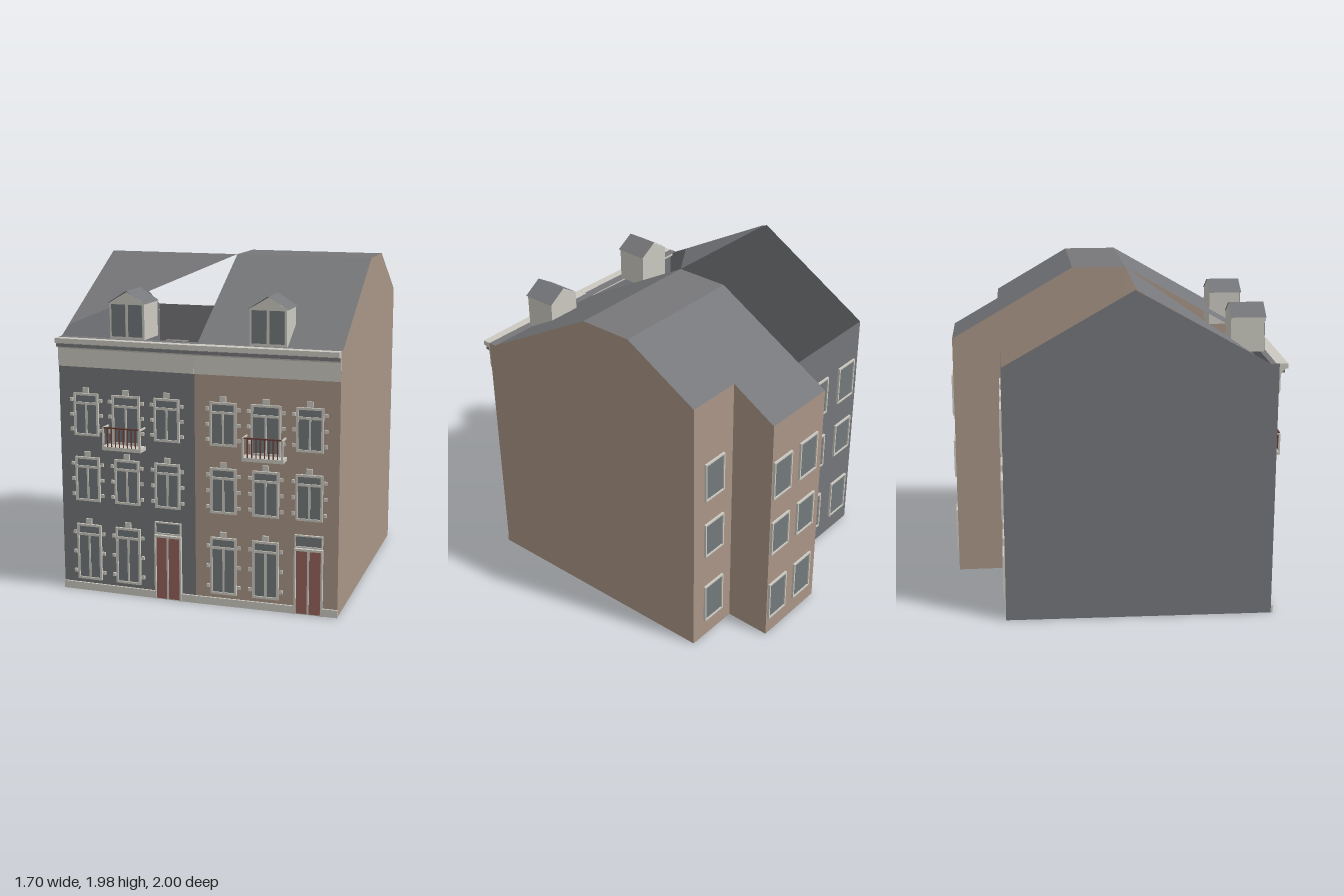
import * as THREE from 'three';

const paint = (name, color) => {
  const m = new THREE.MeshStandardMaterial({ color, side: THREE.DoubleSide });
  m.name = name;
  return m;
};

export function createModel() {
  const model = new THREE.Group();
  model.name = 'rowHouses';
  const greyWall = paint('grey wall', 0x75767a);
  const tanWall = paint('tan wall', 0xa99586);
  const roof = paint('roof grey', 0x77787b);
  const trim = paint('pale trim', 0xcbc9c0);
  const glass = paint('window glass', 0x73797b);
  const red = paint('door red', 0x96625a);
  const iron = paint('railing brown', 0x6b4038);

  const group = (name, parent) => {
    const g = new THREE.Group();
    g.name = name;
    parent.add(g);
    return g;
  };

  // Flat polygon, fanned from its first corner
  const face = (name, parent, mat, pts) => {
    const tri = [];
    for (let i = 1; i < pts.length - 1; i++) tri.push(...pts[0], ...pts[i], ...pts[i + 1]);
    const g = new THREE.BufferGeometry();
    g.setAttribute('position', new THREE.Float32BufferAttribute(tri, 3));
    g.computeVertexNormals();
    const m = new THREE.Mesh(g, mat);
    m.name = name;
    parent.add(m);
  };

  // Box given by its limits
  const box = (name, parent, mat, x0, x1, y0, y1, z0, z1) => {
    const m = new THREE.Mesh(new THREE.BoxGeometry(x1 - x0, y1 - y0, z1 - z0), mat);
    m.position.set((x0 + x1) / 2, (y0 + y1) / 2, (z0 + z1) / 2);
    m.name = name;
    parent.add(m);
  };

  // Slightly skewed party lines of the plot
  const xMid = z => -0.02 * (0.915 - z) / 1.9;
  const xRight = z => 0.85 - 0.03 * (0.9 - z) / 1.6;
  const xLeft = z => -0.85 + 0.015 * (0.9 - z) / 1.6;
  const side = (fx, list) => list.map(([z, y]) => [fx(z), y, z]);
  const wall = (name, parent, mat, a, b, ya, yb = ya) =>
    face(name, parent, mat, [[a[0], 0, a[1]], [b[0], 0, b[1]], [b[0], yb, b[1]], [a[0], ya, a[1]]]);

  const E = 1.54, R = 1.975;

  // Tan house shell
  const tan = group('tanHouse', model);
  wall('frontWall', tan, tanWall, [0, 0.915], [0.85, 0.9], E);
  wall('recessedBackWall', tan, tanWall, [0.82, -0.705], [0.47, -0.705], 1.705);
  wall('extensionSideWall', tan, tanWall, [0.47, -0.705], [0.47, -0.99], 1.705, E);
  wall('extensionBackWall', tan, tanWall, [0.47, -0.99], [-0.02, -0.99], E);
  face('rightGable', tan, tanWall, side(xRight,
    [[0.9, 0], [-0.705, 0], [-0.705, 1.705], [-0.24, R], [0.09, R], [0.85, E], [0.9, E]]));
  face('partyWall', tan, tanWall, side(xMid,
    [[0.09, E], [0.09, R], [-0.24, R], [-0.99, E], [-0.99, 0], [0.74, 0], [0.74, E]]));
  face('floor', tan, tanWall, [[0, 0, 0.915], [xMid(-0.705), 0, -0.705], [0.82, 0, -0.705], [0.85, 0, 0.9]]);
  face('extensionFloor', tan, tanWall,
    [[xMid(-0.705), 0, -0.705], [-0.02, 0, -0.99], [0.47, 0, -0.99], [0.47, 0, -0.705]]);
  const strip = (name, z0, y0, z1, y1) => face(name, tan, roof,
    [[xMid(z0), y0, z0], [xRight(z0), y0, z0], [xRight(z1), y1, z1], [xMid(z1), y1, z1]]);
  strip('eaveStrip', 0.9, E, 0.85, E);
  strip('frontRoof', 0.85, E, 0.09, R);
  strip('flatRoof', 0.09, R, -0.24, R);
  strip('backRoof', -0.24, R, -0.705, 1.705);
  face('extensionRoof', tan, roof,
    [[xMid(-0.705), 1.705, -0.705], [0.47, 1.705, -0.705], [0.47, E, -0.99], [-0.02, E, -0.99]]);

  // Grey house shell, with its roof partly open
  const grey = group('greyHouse', model);
  wall('frontWall', grey, greyWall, [-0.85, 0.9], [0, 0.915], E);
  wall('backWall', grey, greyWall, [xMid(-0.69), -0.69], [-0.835, -0.69], E);
  face('leftGable', grey, greyWall, side(xLeft,
    [[0.9, 0], [-0.69, 0], [-0.69, E], [0.07, R], [0.85, E], [0.9, E]]));
  face('floor', grey, greyWall,
    [[-0.85, 0, 0.9], [0, 0, 0.915], [xMid(-0.69), 0, -0.69], [-0.835, 0, -0.69]]);
  face('frontRoofPart', grey, roof, [[xLeft(0.08), R, 0.08], [-0.01, R, 0.09], [-0.85, 1.59, 0.76]]);
  face('eaveStrip', grey, roof, [[-0.85, E, 0.9], [0, E, 0.91], [0, E, 0.85], [-0.85, E, 0.85]]);

  // Framed pane, with optional transom bar and mullion
  const windowUnit = (parent, x, y0, y1, w, { transom = 0, mullion = false, t = 0.013 } = {}) => {
    const g = group('window', parent);
    g.position.x = x;
    const h = w / 2, d = 0.014;
    box('pane', g, glass, -h + t, h - t, y0 + t, y1 - t, 0, 0.006);
    for (const s of [-1, 1]) {
      const c = s * (h - t / 2);
      box('jamb', g, trim, c - t / 2, c + t / 2, y0, y1, 0, d);
    }
    box('sill', g, trim, -h + t, h - t, y0, y0 + t, 0, d);
    box('head', g, trim, -h + t, h - t, y1 - t, y1, 0, d);
    const top = transom || y1 - t;
    if (transom) box('transom', g, trim, -h + t, h - t, transom - 0.007, transom + 0.007, 0, d);
    if (mullion) box('mullion', g, trim, -0.006, 0.006, y0 + t, top, 0, 0.011);
    return g;
  };

  // Front window with keystone and side blocks
  const frontWindow = (parent, x, y0, y1, transom, w = 0.157, blocksFrom = y0) => {
    const g = windowUnit(parent, x, y0, y1, w, { transom, mullion: true });
    box('keystone', g, trim, -0.018, 0.018, y1 + 0.002, y1 + 0.034, 0, 0.012);
    for (const s of [-1, 1]) for (const f of [0.14, 0.49, 0.84]) {
      const c = s * (w / 2 + 0.015), y = blocksFrom + (y1 - blocksFrom) * f;
      box('sideBlock', g, trim, c - 0.009, c + 0.009, y - 0.01, y + 0.01, 0, 0.012);
    }
  };

  const door = (parent, x) => {
    const g = group('frontDoor', parent);
    g.position.x = x;
    for (const s of [-1, 1]) {
      const c = s * 0.038, j = s * 0.079;
      box('doorLeaf', g, red, c - 0.033, c + 0.033, 0.006, 0.382, 0, 0.016);
      box('doorJamb', g, trim, j - 0.005, j + 0.005, 0, 0.395, 0, 0.02);
    }
    box('doorMullion', g, trim, -0.006, 0.006, 0.006, 0.382, 0, 0.02);
    box('doorHead', g, trim, -0.074, 0.074, 0.382, 0.395, 0, 0.02);
    windowUnit(g, 0, 0.4, 0.475, 0.165, { t: 0.008 });
  };

  const balcony = (parent, x) => {
    const g = group('balcony', parent);
    g.position.x = x;
    box('balconySlab', g, trim, -0.122, 0.122, 0.9, 0.922, 0, 0.082);
    for (const s of [-1, 1]) {
      const c = s * 0.115;
      box('cornerPost', g, trim, c - 0.005, c + 0.005, 0.922, 1.035, 0.072, 0.082);
      box('sideRail', g, trim, c - 0.004, c + 0.004, 1.026, 1.036, 0, 0.072);
    }
    box('topRail', g, iron, -0.11, 0.11, 1.03, 1.038, 0.073, 0.081);
    for (let i = 0; i < 8; i++) {
      const c = -0.088 + i * 0.0251;
      box('railBar', g, iron, c - 0.003, c + 0.003, 0.922, 1.03, 0.074, 0.08);
    }
  };

  // Moulded cornice swept along the front
  const cornice = parent => {
    const pts = [[0, 1.37], [0.008, 1.37], [0.008, 1.475], [0.014, 1.488], [0.03, 1.508],
      [0.05, 1.512], [0.05, E], [-0.018, E], [-0.018, 1.5], [0, 1.5]];
    const shape = new THREE.Shape(pts.map(([d, y]) => new THREE.Vector2(-d, y)));
    const geo = new THREE.ExtrudeGeometry(shape, { depth: 0.85, bevelEnabled: false }).rotateY(Math.PI / 2);
    const m = new THREE.Mesh(geo, trim);
    m.name = 'cornice';
    parent.add(m);
    box('corniceGroove', parent, roof, 0, 0.85, 1.487, 1.506, 0.01, 0.032);
  };

  const dormer = (parent, x) => {
    const g = group('dormer', parent);
    g.position.set(x, 0, -0.035);
    const h = 0.108, z0 = -0.2, z1 = 0, y1 = 1.75, peak = 1.815;
    box('dormerBody', g, trim, -h, h, E, y1, z0, z1);
    for (const z of [z0, z1]) face('dormerGable', g, trim, [[-h, y1, z], [h, y1, z], [0, peak, z]]);
    for (const s of [-1, 1]) {
      face('dormerRoof', g, roof, [[s * 0.116, y1 - 0.002, z1 + 0.008], [s * 0.116, y1 - 0.002, z0 - 0.004],
        [0, peak + 0.006, z0 - 0.004], [0, peak + 0.006, z1 + 0.008]]);
      const c = s * 0.052;
      box('dormerPane', g, glass, c - 0.043, c + 0.043, 1.555, 1.742, z1, z1 + 0.005);
    }
  };

  // The two facades share one layout, each turned slightly back from the middle
  for (const s of [-1, 1]) {
    const turned = group(s < 0 ? 'greyFacade' : 'tanFacade', model);
    turned.position.z = 0.915;
    turned.rotation.y = s * 0.0176;
    const f = group('facadeParts', turned);
    f.position.x = s < 0 ? -0.85 : 0;
    const cols = [0.172, 0.425, 0.68];
    const doorCol = 2;
    box('plinth', f, trim, 0, 0.85, 0, 0.045, 0, 0.012);
    cornice(f);
    cols.forEach((x, i) => {
      if (i === doorCol) door(f, x);
      else frontWindow(f, x, 0.07, 0.415, 0.352);
      frontWindow(f, x, 0.56, 0.83, 0.77);
      if (i === 1) {
        frontWindow(f, x, 0.922, 1.215, 1.15, 0.175, 0.96);
        balcony(f, x);
      } else frontWindow(f, x, 0.96, 1.215, 1.155);
    });
    dormer(f, 0.425);
  }

  // Rear windows on each back wall: depth, then column centres
  const rows = [[0.12, 0.39], [0.62, 0.86], [1.03, 1.29]];
  for (const [z, cols] of [[-0.69, [-0.705, -0.415, -0.13]], [-0.99, [0.125, 0.375]], [-0.705, [0.64]]]) {
    const g = group('rearWindows', model);
    g.position.z = z;
    g.rotation.y = Math.PI;
    for (const x of cols) for (const [a, b] of rows) windowUnit(g, -x, a, b, 0.17, { t: 0.01 });
  }
  return model;
}
